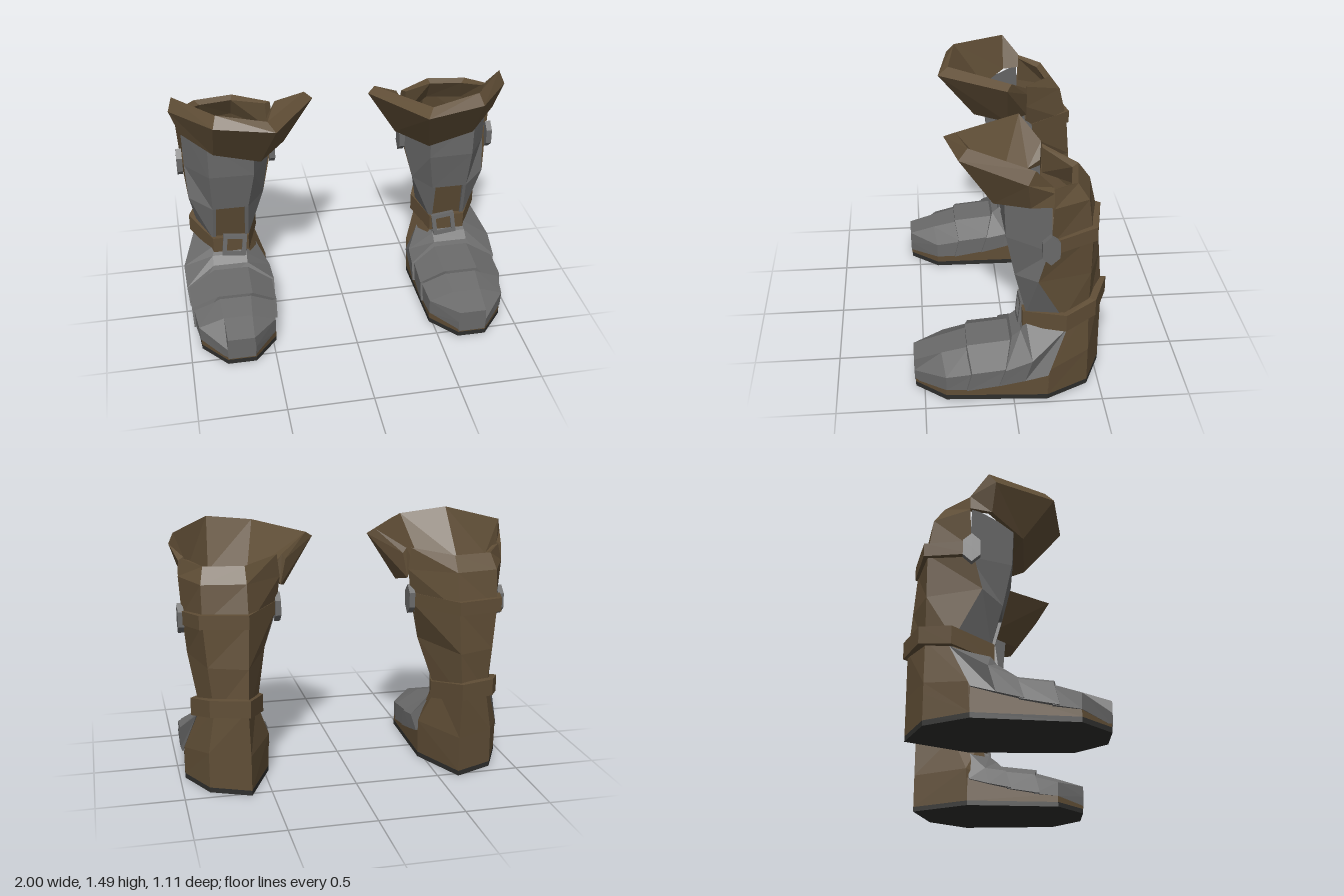
import * as THREE from 'three';

const GREY = 0x6a6a6a, BROWN = 0x604e36, DARK = 0x2e2e2c;

// Flat-shaded skin through equal-length sections.
// 'solid' caps the ends, 'ring' joins last section to first, 'strip' is an open sheet.
function loft(sections, kind, side) {
  const tris = [];
  const n = sections[0].length, m = sections.length;
  const rows = kind === 'ring' ? m : m - 1;
  const cols = kind === 'strip' ? n - 1 : n;
  for (let i = 0; i < rows; i++) {
    for (let j = 0; j < cols; j++) {
      const p = sections[i], q = sections[(i + 1) % m], k = (j + 1) % n;
      tris.push([p[j], p[k], q[k]], [p[j], q[k], q[j]]);
    }
  }
  if (kind === 'solid') {
    const a = sections[0], b = sections[m - 1];
    for (let j = 1; j < n - 1; j++) tris.push([a[0], a[j + 1], a[j]], [b[0], b[j], b[j + 1]]);
  }
  // Signed volume decides which way the faces must wind
  const pts = tris.map(t => t.map(([x, y, z]) => new THREE.Vector3(x * side, y, z)));
  const volume = pts.reduce((v, [a, b, c]) => v + a.dot(b.clone().cross(c)), 0);
  if (kind !== 'strip' && volume < 0) pts.forEach(t => t.reverse());
  const geo = new THREE.BufferGeometry().setFromPoints(pts.flat());
  geo.computeVertexNormals();
  return geo;
}

// Strap of columns [x, z, yLow, yHigh], thickened toward the leg centre
function strapSections(columns) {
  return columns.map(([x, z, lo, hi]) => {
    const ix = x + (0.71 - x) * 0.16, iz = z + (-0.25 - z) * 0.16;
    return [[x, lo, z], [x, hi, z], [ix, hi, iz], [ix, lo, iz]];
  });
}

function createBoot(side) {
  const boot = new THREE.Group();
  const add = (name, geo, color) => {
    const mat = new THREE.MeshStandardMaterial({ color, flatShading: true, side: THREE.DoubleSide });
    const mesh = new THREE.Mesh(geo, mat);
    mesh.name = name;
    boot.add(mesh);
    return mesh;
  };
  const part = (name, sections, kind, color) => add(name, loft(sections, kind, side), color);

  // Sole and the leather rand above it
  const outline = [[0.62, 0.55], [0.79, 0.55], [0.93, 0.38], [0.97, -0.19],
    [0.85, -0.43], [0.62, -0.53], [0.47, -0.19], [0.48, 0.38]];
  const level = y => outline.map(([x, z]) => [x, y, z]);
  part('sole', [level(0), level(0.03)], 'solid', DARK);
  const rand = outline.map(([x, z]) => [x, Math.min(0.18, 0.05 + (0.55 - z) * 0.18), z]);
  part('rand', [level(0.03), rand], 'solid', BROWN);

  // Heel
  part('heel', [
    [[0.92, 0.03, 0], [0.97, 0.03, -0.19], [0.85, 0.03, -0.43], [0.62, 0.03, -0.53], [0.47, 0.03, -0.19], [0.5, 0.03, 0]],
    [[0.9, 0.2, -0.05], [0.97, 0.2, -0.2], [0.85, 0.24, -0.43], [0.62, 0.24, -0.53], [0.465, 0.24, -0.2], [0.54, 0.2, -0.05]],
    [[0.78, 0.48, -0.1], [0.88, 0.48, -0.29], [0.81, 0.5, -0.43], [0.63, 0.52, -0.53], [0.55, 0.48, -0.29], [0.6, 0.48, -0.1]],
  ], 'solid', BROWN);

  // Overlapping foot plates; section = outer bottom, shoulder, top, then inner top, shoulder, bottom
  const toe = [
    [[0.785, 0.04, 0.555], [0.79, 0.11, 0.556], [0.785, 0.18, 0.557], [0.625, 0.18, 0.557], [0.62, 0.11, 0.556], [0.625, 0.04, 0.555]],
    [[0.935, 0.07, 0.38], [0.94, 0.16, 0.38], [0.79, 0.225, 0.4], [0.62, 0.225, 0.4], [0.48, 0.16, 0.38], [0.48, 0.07, 0.38]],
    [[0.96, 0.08, 0.23], [0.96, 0.19, 0.22], [0.8, 0.265, 0.24], [0.61, 0.265, 0.24], [0.465, 0.19, 0.22], [0.465, 0.08, 0.23]],
  ];
  const middle = [
    [[0.965, 0.08, 0.265], [0.97, 0.2, 0.235], [0.81, 0.28, 0.255], [0.6, 0.28, 0.255], [0.455, 0.2, 0.235], [0.455, 0.08, 0.265]],
    [[0.97, 0.11, 0.06], [0.97, 0.22, 0.03], [0.81, 0.305, -0.01], [0.6, 0.305, -0.01], [0.46, 0.22, 0.03], [0.46, 0.11, 0.06]],
  ];
  const instep = [
    [[0.975, 0.11, 0.085], [0.985, 0.22, 0.05], [0.81, 0.33, 0], [0.6, 0.33, 0], [0.445, 0.22, 0.05], [0.445, 0.11, 0.085]],
    [[0.98, 0.14, -0.06], [0.99, 0.28, -0.1], [0.81, 0.37, -0.05], [0.6, 0.37, -0.05], [0.455, 0.24, -0.08], [0.455, 0.14, -0.06]],
    [[0.98, 0.17, -0.19], [0.9, 0.43, -0.3], [0.79, 0.43, -0.08], [0.6, 0.43, -0.08], [0.56, 0.42, -0.22], [0.46, 0.17, -0.18]],
  ];
  part('toePlate', toe, 'solid', GREY);
  part('middlePlate', middle, 'solid', GREY);
  part('instepPlate', instep, 'solid', GREY);

  // Leather back of the shaft, turned over at the collar
  part('shaftBack', [
    [[0.88, 0.48, -0.28], [0.81, 0.48, -0.43], [0.63, 0.48, -0.53], [0.54, 0.48, -0.28]],
    [[0.925, 0.76, -0.13], [0.84, 0.75, -0.43], [0.62, 0.75, -0.51], [0.47, 0.76, -0.13]],
    [[0.95, 1.0, -0.19], [0.86, 1.0, -0.43], [0.61, 1.0, -0.49], [0.41, 1.0, -0.19]],
    [[0.965, 1.23, -0.2], [0.86, 1.22, -0.4], [0.61, 1.22, -0.44], [0.385, 1.2, -0.2]],
    [[0.94, 1.33, -0.2], [0.84, 1.31, -0.34], [0.61, 1.31, -0.375], [0.4, 1.33, -0.2]],
    [[0.9, 1.32, -0.2], [0.81, 1.29, -0.31], [0.62, 1.29, -0.34], [0.43, 1.32, -0.2]],
    [[0.92, 1.16, -0.2], [0.83, 1.16, -0.38], [0.62, 1.16, -0.42], [0.42, 1.16, -0.2]],
  ], 'strip', BROWN);

  // Shin armour: upper sheet, two lower wings and a recessed leather panel
  part('shinArmour', [
    [[0.94, 1.26, -0.19], [0.8, 1.21, 0.045], [0.53, 1.17, 0.055], [0.41, 1.2, -0.19]],
    [[0.935, 0.95, -0.2], [0.8, 0.98, 0.035], [0.535, 0.98, 0.04], [0.425, 0.95, -0.2]],
    [[0.925, 0.76, -0.13], [0.79, 0.73, -0.015], [0.575, 0.73, -0.015], [0.47, 0.76, -0.13]],
    [[0.9, 0.74, -0.15], [0.78, 0.73, -0.045], [0.585, 0.73, -0.045], [0.49, 0.74, -0.15]],
  ], 'strip', GREY);
  part('outerWing', [
    [[0.925, 0.76, -0.13], [0.79, 0.73, -0.015], [0.77, 0.73, -0.015], [0.77, 0.73, -0.045]],
    [[0.88, 0.48, -0.28], [0.8, 0.48, -0.08], [0.78, 0.48, -0.08], [0.78, 0.48, -0.11]],
  ], 'strip', GREY);
  part('innerWing', [
    [[0.47, 0.76, -0.13], [0.575, 0.73, -0.015], [0.595, 0.73, -0.015], [0.595, 0.73, -0.045]],
    [[0.54, 0.48, -0.28], [0.58, 0.48, -0.08], [0.6, 0.48, -0.08], [0.6, 0.48, -0.11]],
  ], 'strip', GREY);
  part('shinPanel', [
    [[0.78, 0.74, -0.035], [0.585, 0.74, -0.035]],
    [[0.79, 0.45, -0.1], [0.59, 0.45, -0.1]],
  ], 'strip', BROWN);

  // Flared cuff; section = lower edge, outer rim, top rim, inside foot
  part('cuff', [
    [[0.38, 1.15, -0.2], [0.35, 1.3, -0.2], [0.37, 1.33, -0.2], [0.42, 1.24, -0.19]],
    [[0.34, 1.12, -0.08], [0.165, 1.4, -0.06], [0.21, 1.43, -0.09], [0.44, 1.2, -0.12]],
    [[0.5, 1.11, 0.12], [0.43, 1.41, 0.345], [0.47, 1.45, 0.28], [0.54, 1.17, 0.04]],
    [[0.77, 1.17, 0.1], [0.77, 1.43, 0.28], [0.75, 1.49, 0.23], [0.77, 1.2, 0.04]],
    [[0.945, 1.23, -0.08], [1.0, 1.39, -0.06], [0.975, 1.46, -0.1], [0.9, 1.25, -0.1]],
    [[0.965, 1.24, -0.2], [0.96, 1.32, -0.2], [0.93, 1.34, -0.2], [0.9, 1.26, -0.2]],
  ], 'solid', BROWN);

  // Ankle belt with square buckle
  part('ankleBelt', strapSections([
    [0.8, -0.06, 0.39, 0.49], [0.93, -0.29, 0.43, 0.535], [0.84, -0.465, 0.47, 0.57],
    [0.62, -0.555, 0.48, 0.58], [0.51, -0.29, 0.42, 0.525], [0.58, -0.06, 0.39, 0.49],
  ]), 'ring', BROWN);
  const frame = new THREE.Shape([[-1, -1], [1, -1], [1, 1], [-1, 1]].map(([x, y]) => new THREE.Vector2(x * 0.073, y * 0.07)));
  frame.holes.push(new THREE.Path([[-1, -1], [-1, 1], [1, 1], [1, -1]].map(([x, y]) => new THREE.Vector2(x * 0.047, y * 0.045))));
  const buckle = add('buckle', new THREE.ExtrudeGeometry(frame, { depth: 0.03, bevelEnabled: false }), GREY);
  buckle.position.set(side * 0.67, 0.43, -0.075);
  buckle.rotation.set(-0.12, 0, side * 0.12);

  // Calf strap held by a plate at each end
  part('calfStrap', strapSections([
    [0.968, -0.19, 0.95, 1.03], [0.88, -0.45, 0.98, 1.06],
    [0.61, -0.505, 0.98, 1.06], [0.395, -0.19, 0.98, 1.06],
  ]), 'solid', BROWN);
  for (const [x, y] of [[0.96, 0.985], [0.402, 1.02]]) {
    const geo = new THREE.CylinderGeometry(1, 1, 0.034, 6).rotateZ(Math.PI / 2).rotateX(Math.PI / 2);
    const plate = add('strapPlate', geo.scale(1, 0.088, 0.055), GREY);
    plate.position.set(side * x, y, -0.19);
  }
  return boot;
}

export function createModel() {
  const model = new THREE.Group();
  for (const side of [1, -1]) {
    const boot = createBoot(side);
    boot.name = side > 0 ? 'leftBoot' : 'rightBoot';
    model.add(boot);
  }
  return model;
}
